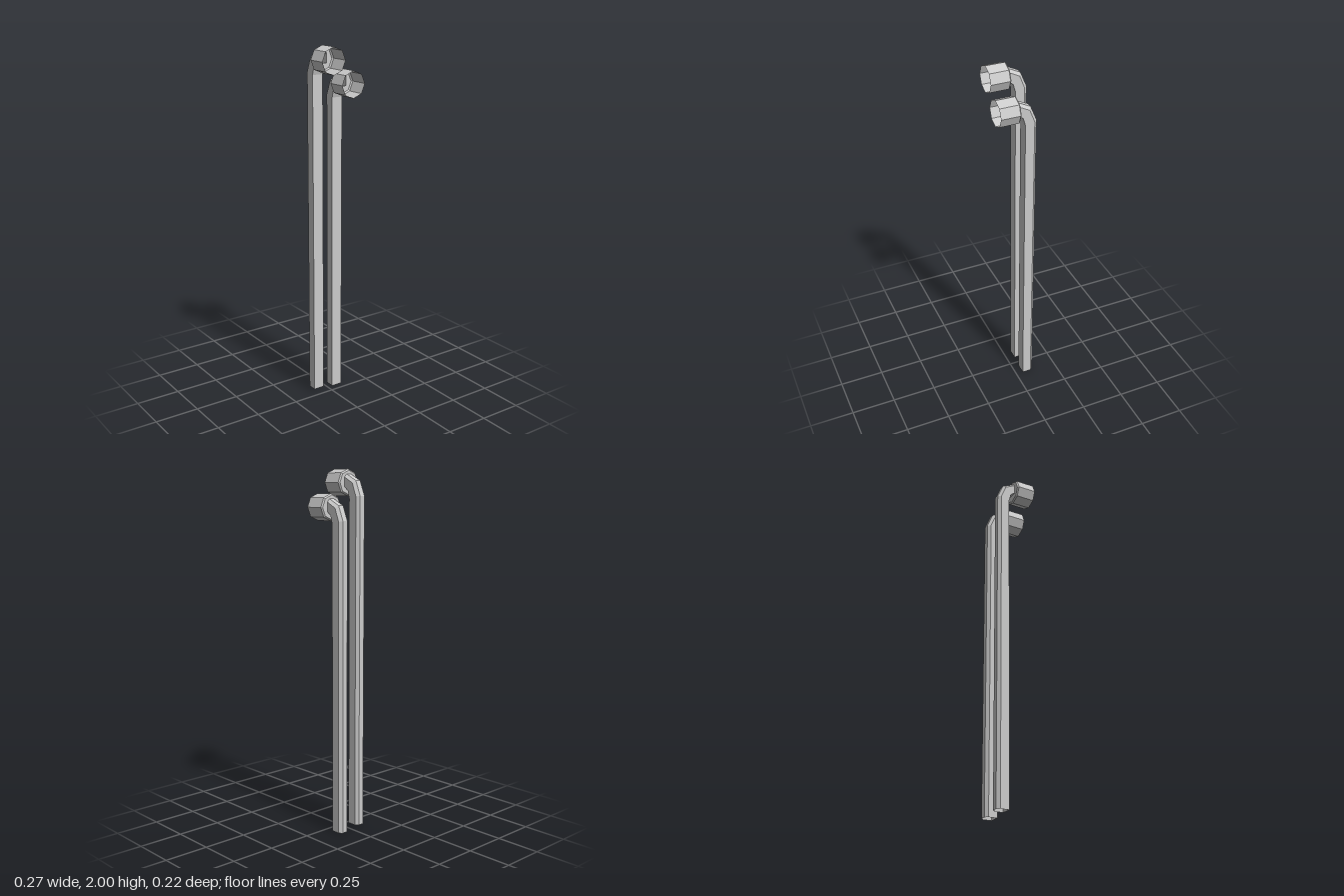
import * as THREE from 'three';

const material = new THREE.MeshStandardMaterial({ color: 0xcccccc, flatShading: true, side: THREE.DoubleSide });

// Pipe section: [sideways, share of depth from the inner to the outer line]
const section = [[-0.032, 0], [0.032, 0], [0.032, 0.76], [0.016, 1], [-0.016, 1], [-0.032, 0.76]];

// Bend stations relative to the cup centre: inner [z, y], outer [z, y]
const bend = [
  [[-0.042, -0.085], [-0.109, -0.07]],
  [[-0.03, -0.042], [-0.076, 0.01]],
  [[-0.005, -0.022], [-0.005, 0.045]],
];

function pipeGeometry(bottomY) {
  const stations = [[[-0.042, bottomY], [-0.109, bottomY]], ...bend];
  const positions = [];
  const index = [];
  const n = section.length;
  stations.forEach(([a, b], s) => {
    for (const [x, t] of section) {
      positions.push(x, a[1] + (b[1] - a[1]) * t, a[0] + (b[0] - a[0]) * t);
    }
    if (s === 0) return;
    for (let i = 0; i < n; i++) {
      const p = (s - 1) * n + i, q = (s - 1) * n + (i + 1) % n;
      index.push(p, q, q + n, p, q + n, p + n);
    }
  });
  const g = new THREE.BufferGeometry();
  g.setAttribute('position', new THREE.Float32BufferAttribute(positions, 3));
  g.setIndex(index);
  const flat = g.toNonIndexed();
  flat.computeVertexNormals();
  return flat;
}

function part(name, geometry) {
  const mesh = new THREE.Mesh(geometry, material);
  mesh.name = name;
  return mesh;
}

// One hollow pipe that bends forward into an open eight-sided cup
function makePipeWithCup(name, x, y, bottom) {
  const group = new THREE.Group();
  group.name = name;
  group.position.set(x, y, 0);

  // Pipe, open at both ends
  group.add(part('pipe', pipeGeometry(bottom - y)));

  // Cup wall with a bevelled back edge
  const profile = [[0.065, -0.005], [0.0725, 0.002], [0.0725, 0.108]].map(p => new THREE.Vector2(...p));
  group.add(part('cupWall', new THREE.LatheGeometry(profile, 8).rotateX(Math.PI / 2)));

  // Cup back plate, with a hole where the pipe enters
  const plate = new THREE.Shape(Array.from({ length: 8 }, (_, i) => {
    const a = i * Math.PI / 4;
    return new THREE.Vector2(0.065 * Math.cos(a), 0.065 * Math.sin(a));
  }));
  plate.holes.push(new THREE.Path(section.map(([sx, t]) => new THREE.Vector2(sx, -0.022 + 0.067 * t))));
  group.add(part('cupBack', new THREE.ShapeGeometry(plate).translate(0, 0, -0.005)));
  return group;
}

export function createModel() {
  const model = new THREE.Group();
  model.name = 'pipePair';
  model.add(makePipeWithCup('tallPipe', -0.062, 1.928, 0.015));
  model.add(makePipeWithCup('shortPipe', 0.063, 1.798, 0));
  return model;
}
